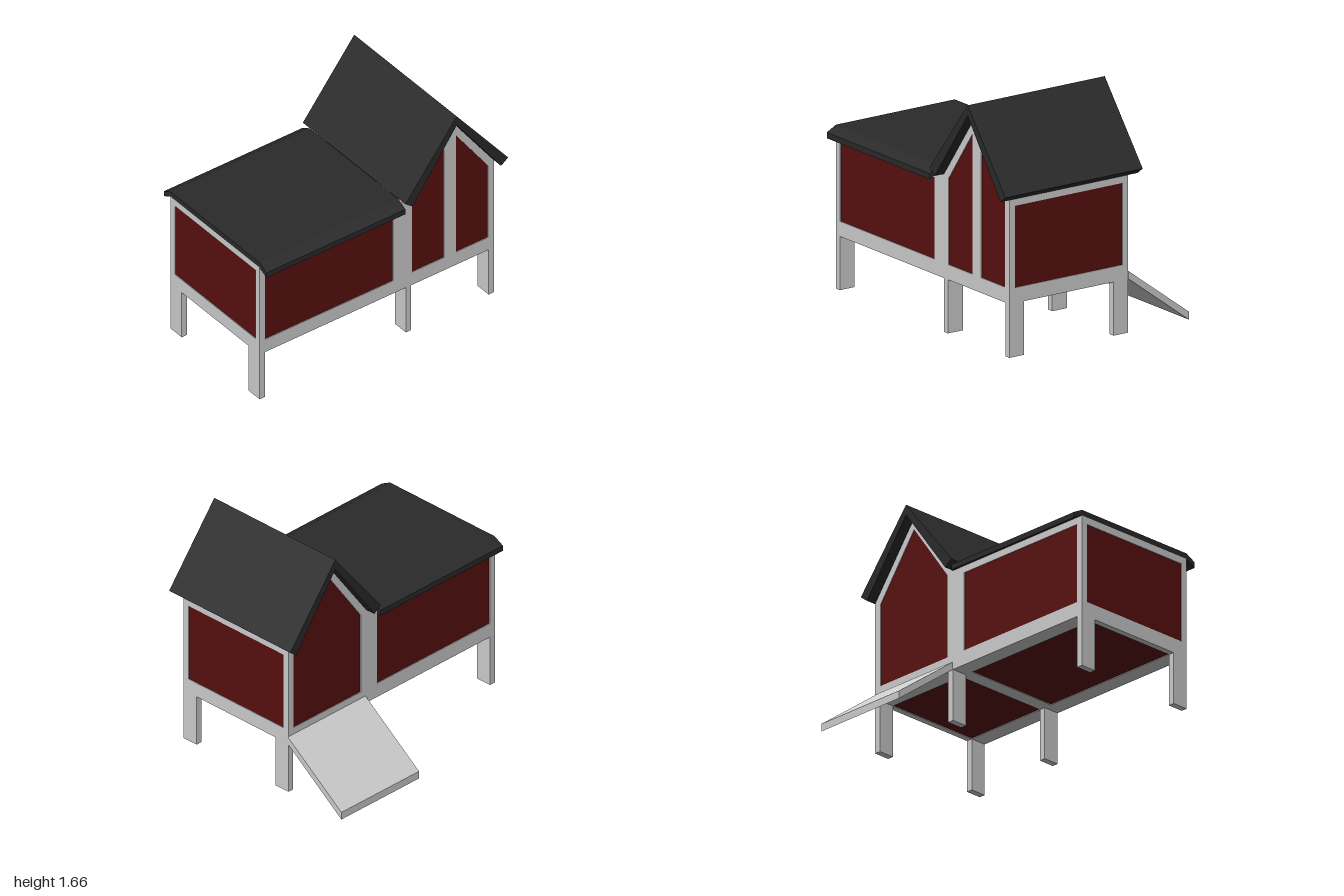
import * as THREE from 'three';

const grey = new THREE.MeshStandardMaterial({ color: 0xcccccc });
const red = new THREE.MeshStandardMaterial({ color: 0x580f0f });
const black = new THREE.MeshStandardMaterial({ color: 0x2a2a2a });

const T = 0.045;                 // board thickness
const X0 = -0.275, X1 = 0.695;   // side faces of the house
const Z0 = -0.94, Z1 = 1.0;      // back and front faces
const FLOOR = 0.37, SILL = 0.475, EAVE = 1.09, LEG = 0.12;

const toShape = (pts) => new THREE.Shape(pts.map(([x, y]) => new THREE.Vector2(x, y)));
const rect = (a, b, c, d) => [[a, b], [c, b], [c, d], [a, d]];

function extrude(name, shape, depth, material) {
  const geometry = new THREE.ExtrudeGeometry(shape, { depth, bevelEnabled: false });
  const mesh = new THREE.Mesh(geometry, material);
  mesh.name = name;
  return mesh;
}

function box(name, material, x0, x1, y0, y1, z0, z1) {
  const mesh = new THREE.Mesh(new THREE.BoxGeometry(x1 - x0, y1 - y0, z1 - z0), material);
  mesh.position.set((x0 + x1) / 2, (y0 + y1) / 2, (z0 + z1) / 2);
  mesh.name = name;
  return mesh;
}

// A frame with openings, each filled by a slightly inset red panel
function wall(name, outline, openings) {
  const group = new THREE.Group();
  group.name = name;
  const shape = toShape(outline);
  openings.forEach((pts) => shape.holes.push(new THREE.Path(toShape(pts).getPoints())));
  group.add(extrude(name + 'Frame', shape, T, grey));
  openings.forEach((pts) => {
    const panel = extrude(name + 'Panel', toShape(pts), T - 0.01, red);
    panel.position.z = 0.005;
    group.add(panel);
  });
  return group;
}

// Turns a profile drawn with (-z, y) coordinates to face along x
function sideways(object, x) {
  object.rotation.y = Math.PI / 2;
  object.position.x = x;
  return object;
}

export function createModel() {
  const model = new THREE.Group();
  model.name = 'henHouse';

  // Front and back walls, with their legs in the outline
  const endOutline = [
    [X0, 0], [X0 + LEG, 0], [X0 + LEG, FLOOR], [X1 - LEG, FLOOR],
    [X1 - LEG, 0], [X1, 0], [X1, EAVE], [X0, EAVE],
  ];
  for (const [name, z] of [['frontWall', Z1 - T], ['backWall', Z0]]) {
    const end = wall(name, endOutline, [rect(X0 + T, SILL, X1 - T, 1.04)]);
    end.position.z = z;
    model.add(end);
  }

  // Side walls with the tall gable at the back
  const sideOutline = [[-Z1, FLOOR], [-Z0, FLOOR], [-Z0, EAVE], [0.575, 1.59], [0.21, EAVE], [-Z1, EAVE]];
  const runPanel = rect(-0.953, SILL, 0.105, 1.04);
  const splitPanels = [
    [[0.26, SILL], [0.525, SILL], [0.525, 1.44], [0.26, 1.07]],
    [[0.625, SILL], [0.89, SILL], [0.89, 1.07], [0.625, 1.44]],
  ];
  const doorPanel = [[0.26, SILL], [0.89, SILL], [0.89, 1.07], [0.575, 1.51], [0.26, 1.07]];
  model.add(sideways(wall('leftWall', sideOutline, [runPanel, ...splitPanels]), X1 - T));
  model.add(sideways(wall('rightWall', sideOutline, [runPanel, doorPanel]), X0));

  // Middle legs
  for (const x of [X0, X1 - LEG]) {
    model.add(box('middleLeg', grey, x, x + LEG, 0, FLOOR + 0.02, -0.255, -0.21));
  }

  // Floor: border beams around two red boards
  for (const x of [X0, X1 - LEG]) {
    model.add(box('floorBeam', grey, x, x + LEG, FLOOR, FLOOR + T, Z0, Z1));
  }
  model.add(box('floorCrossBeam', grey, X0 + LEG, X1 - LEG, FLOOR, FLOOR + T, -0.255, -0.15));
  model.add(box('floorBoard', red, X0 + LEG, X1 - LEG, FLOOR + 0.005, FLOOR + T, Z0 + T, -0.255));
  model.add(box('floorBoard', red, X0 + LEG, X1 - LEG, FLOOR + 0.005, FLOOR + T, -0.15, Z1 - T));

  // Flat roof with drooping side edges
  const flatRoof = extrude('flatRoof', toShape([
    [-0.35, 1.05], [X0, EAVE], [X1, EAVE], [0.77, 1.05],
    [0.77, 1.09], [X1, 1.13], [X0, 1.13], [-0.35, 1.09],
  ]), 1.15, black);
  flatRoof.position.z = -0.15;
  model.add(flatRoof);

  // Steep gable roof
  model.add(sideways(extrude('gableRoof', toShape([
    [0.15, 1.132], [0.208, 1.088], [0.575, 1.592], [0.942, 1.088], [1.0, 1.132], [0.575, 1.665],
  ]), 1.12, black), -0.35));

  // Sloping ramp to the door
  const ramp = extrude('ramp', toShape([[-0.77, 0], [X0, FLOOR], [X0, 0.425], [-0.77, 0.055]]), 0.73, grey);
  ramp.position.z = -0.945;
  model.add(ramp);

  return model;
}
